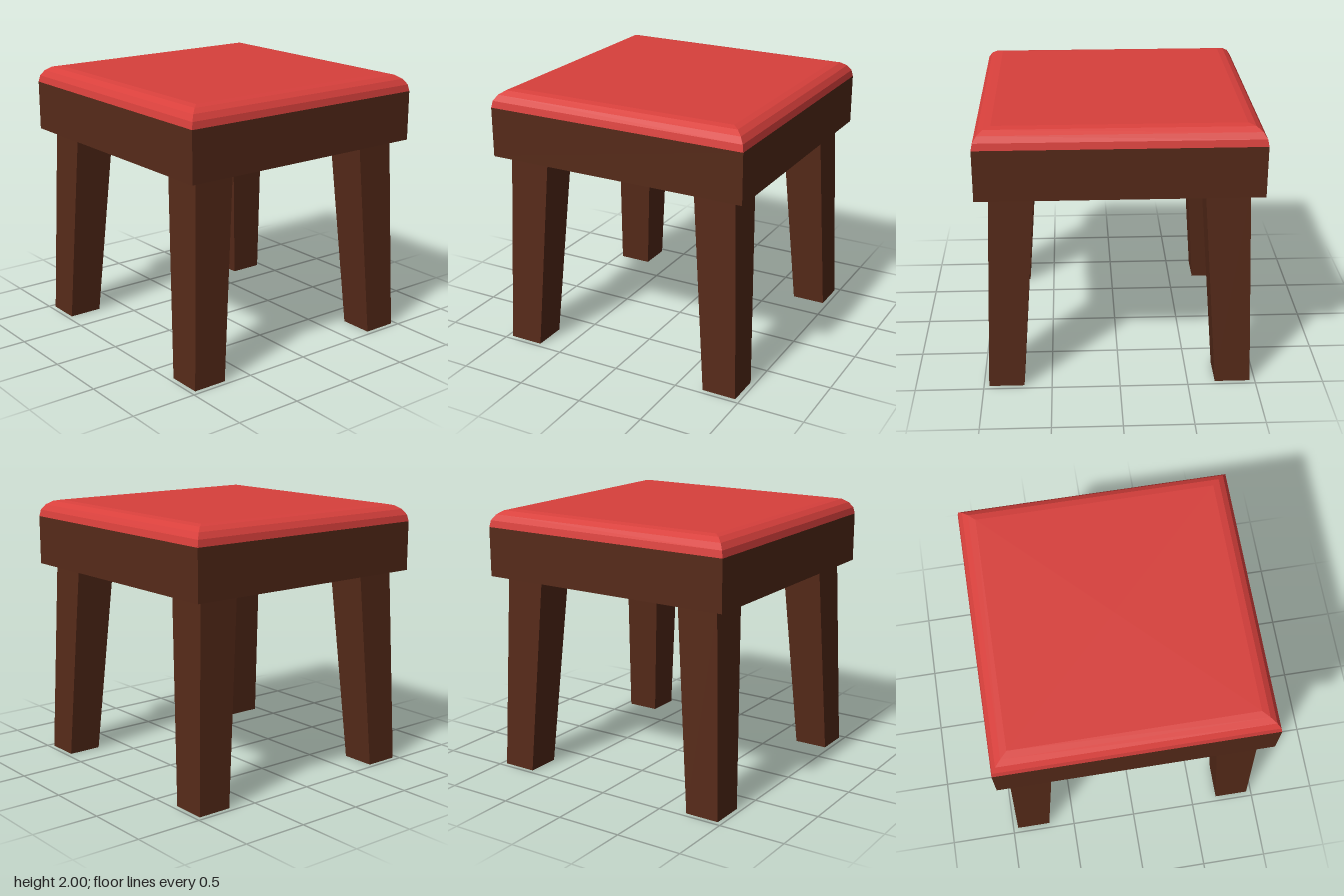
import * as THREE from 'three';

const wood = new THREE.MeshStandardMaterial({ color: 0x562a19, flatShading: true });
const fabric = new THREE.MeshStandardMaterial({ color: 0xd8403c, flatShading: true });

// Square leg that tapers and splays outward; sx and sz choose the corner
function makeLeg(sx, sz) {
  const top = { y: 1.5, inner: 0.595, outer: 0.908 };
  const bottom = { y: 0, inner: 0.703, outer: 0.962 };
  const geo = new THREE.BoxGeometry(1, 1, 1);
  const pos = geo.attributes.position;
  for (let i = 0; i < pos.count; i++) {
    const end = pos.getY(i) > 0 ? top : bottom;
    const place = (v, s) => s * (v * s > 0 ? end.outer : end.inner);
    pos.setXYZ(i, place(pos.getX(i), sx), end.y, place(pos.getZ(i), sz));
  }
  geo.computeVertexNormals();
  return new THREE.Mesh(geo, wood);
}

// Square cushion with a rounded rim and mitred corners
function makeCushion() {
  const radius = 0.13, steps = 4, base = 1.87;
  const profile = [new THREE.Vector2(0, base)];
  for (let i = 0; i <= steps; i++) {
    const a = (i / steps) * Math.PI / 2;
    const half = 1 - radius + radius * Math.cos(a);
    profile.push(new THREE.Vector2(half * Math.SQRT2, base + radius * Math.sin(a)));
  }
  profile.push(new THREE.Vector2(0, base + radius));
  return new THREE.Mesh(new THREE.LatheGeometry(profile, 4, Math.PI / 4), fabric);
}

export function createModel() {
  const stool = new THREE.Group();
  stool.name = 'stool';

  // Thick wooden seat frame
  const frame = new THREE.Mesh(new THREE.BoxGeometry(2, 0.37, 2), wood);
  frame.position.y = 1.685;
  frame.name = 'seatFrame';
  stool.add(frame);

  const cushion = makeCushion();
  cushion.name = 'cushion';
  stool.add(cushion);

  // Four splayed legs
  for (const sx of [1, -1]) {
    for (const sz of [1, -1]) {
      const leg = makeLeg(sx, sz);
      leg.name = (sz > 0 ? 'front' : 'back') + (sx > 0 ? 'Left' : 'Right') + 'Leg';
      stool.add(leg);
    }
  }
  return stool;
}
